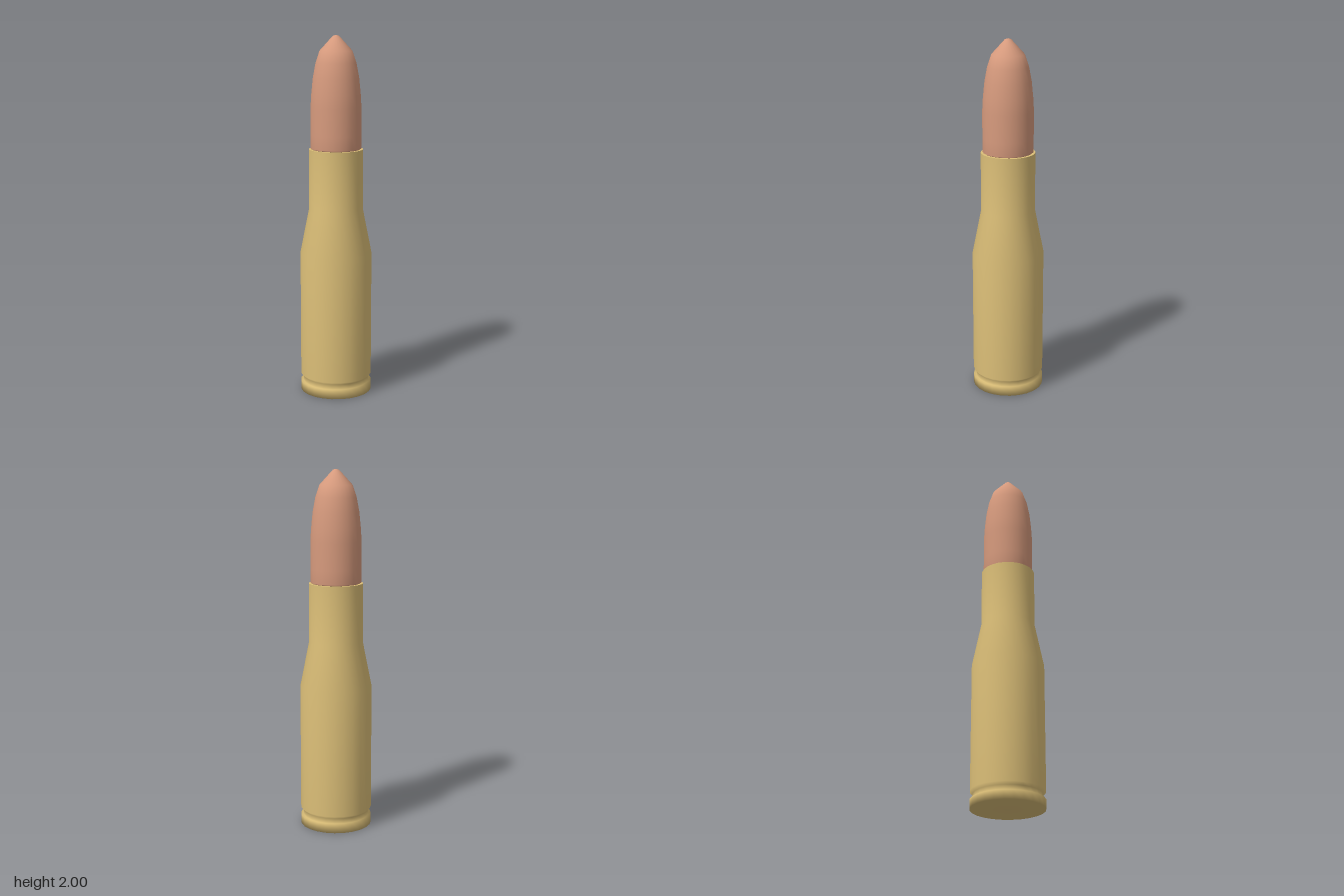
import * as THREE from 'three';

const SEGMENTS = 24;

// Spins a [radius, height] profile, listed from bottom to top, around the y axis
function turned(name, profile, material) {
  const points = profile.map(([r, y]) => new THREE.Vector2(r, y));
  const mesh = new THREE.Mesh(new THREE.LatheGeometry(points, SEGMENTS), material);
  mesh.name = name;
  return mesh;
}

export function createModel() {
  const brass = new THREE.MeshStandardMaterial({ name: 'brass', color: 0xdcbf78 });
  const copper = new THREE.MeshStandardMaterial({ name: 'copper', color: 0xd69a7d });

  const group = new THREE.Group();
  group.name = 'cartridge';

  // Case: base, rim, extractor groove, body, shoulder and neck
  group.add(turned('case', [
    [0, 0], [0.2, 0], [0.2, 0.05], [0.185, 0.05], [0.185, 0.08],
    [0.2, 0.095], [0.2, 0.8], [0.15, 1.05], [0.15, 1.38],
  ], brass));

  // Flat lip around the mouth, kept separate for a sharp edge
  group.add(turned('caseMouth', [[0.15, 1.38], [0.13, 1.38]], brass));

  // Bullet: straight shank, curved nose and blunt tip
  group.add(turned('bullet', [
    [0, 1.38], [0.133, 1.38], [0.14, 1.385], [0.14, 1.46], [0.14, 1.61], [0.136, 1.68],
    [0.127, 1.77], [0.112, 1.85], [0.09, 1.915], [0.017, 1.995], [0, 2],
  ], copper));

  return group;
}
